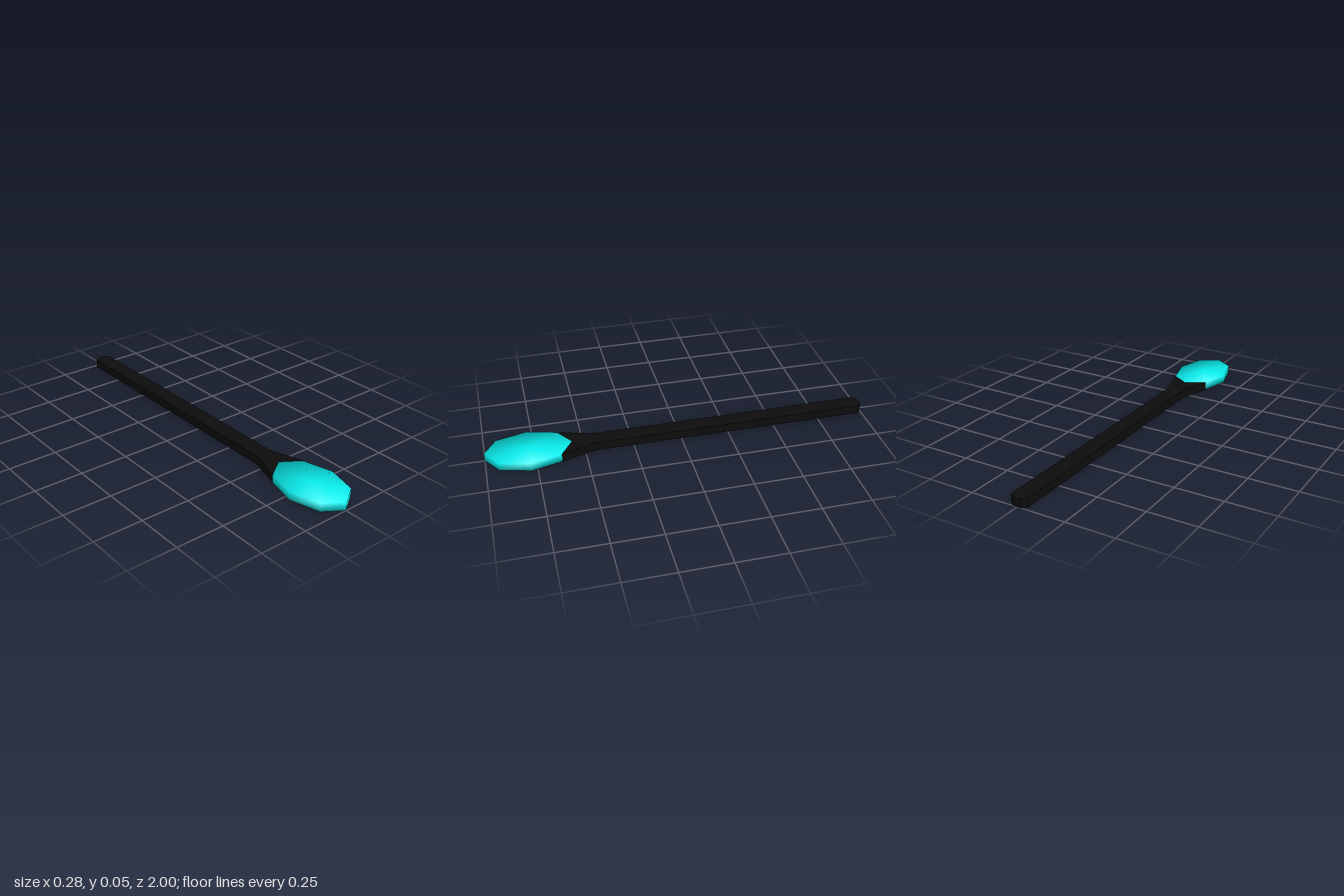
import * as THREE from 'three';

const THICK = 0.045;

// Eight-sided flat head with soft, rounded-over shading
function makeHead() {
  const geo = new THREE.CylinderGeometry(1, 1, THICK, 8);
  const pos = geo.attributes.position, nor = geo.attributes.normal;
  const n = new THREE.Vector3();
  for (let i = 0; i < pos.count; i++) {
    n.set(pos.getX(i), Math.sign(pos.getY(i)) * 0.9, pos.getZ(i)).normalize();
    nor.setXYZ(i, n.x, n.y, n.z);
    pos.setXYZ(i, pos.getX(i) * 0.138, pos.getY(i), pos.getZ(i) * 0.22);
  }
  const head = new THREE.Mesh(geo, new THREE.MeshStandardMaterial({ color: 0x0af0f0 }));
  head.name = 'head';
  head.position.set(0, THICK / 2, 0.78);
  return head;
}

// Straight handle flaring into a V-notched socket around the head
function makeHandle() {
  const half = [[0.022, -1], [0.044, -0.98], [0.044, 0.45], [0.0976, 0.624]];
  const outline = [
    ...half,
    [0, 0.56],
    ...half.map(([x, z]) => [-x, z]).reverse(),
  ].map(([x, z]) => new THREE.Vector2(x, z));
  const geo = new THREE.ExtrudeGeometry(new THREE.Shape(outline), { depth: THICK, bevelEnabled: false });
  geo.rotateX(Math.PI / 2).translate(0, THICK, 0);
  const handle = new THREE.Mesh(geo, new THREE.MeshStandardMaterial({ color: 0x0d0d0d, flatShading: true }));
  handle.name = 'handle';
  return handle;
}

export function createModel() {
  const group = new THREE.Group();
  group.name = 'paddle';
  group.add(makeHandle(), makeHead());
  return group;
}
